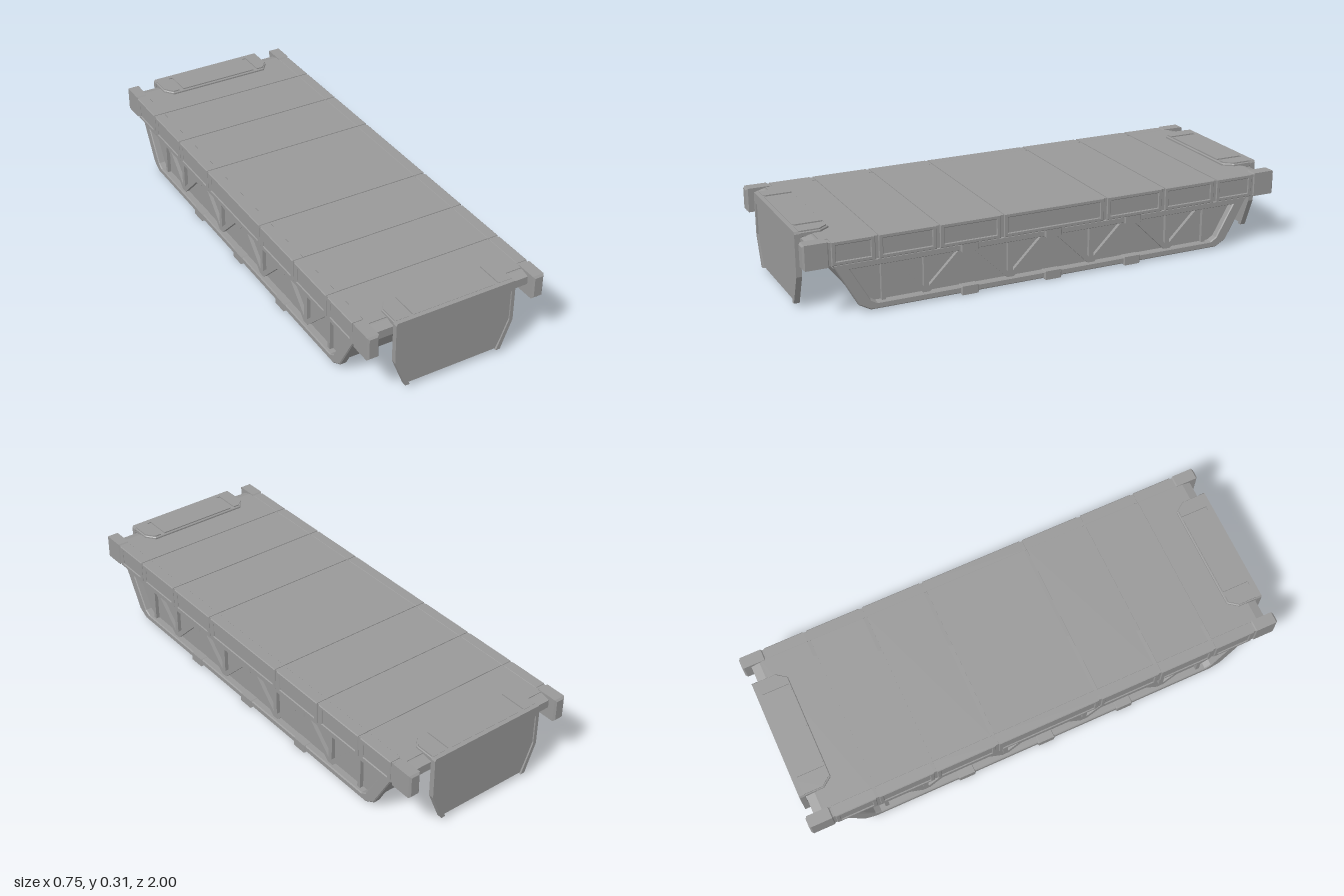
import * as THREE from 'three';

const mat = new THREE.MeshStandardMaterial({ color: 0x999999, flatShading: true });

function add(parent, name, geo, x = 0, y = 0, z = 0) {
  const m = new THREE.Mesh(geo, mat);
  m.name = name;
  m.position.set(x, y, z);
  parent.add(m);
  return m;
}

const box = (w, h, d) => new THREE.BoxGeometry(w, h, d);

function polygon(points, Type = THREE.Shape) {
  return new Type(points.map(p => new THREE.Vector2(p[0], p[1])));
}

// right half of an outline, completed by its mirror image
const mirrored = half => [...half, ...half.map(([a, b]) => [-a, b]).reverse()];

// extrusion centred on its own depth, with an optional chamfer that stays inside the outline
function slab(points, depth, hole, bevel = 0) {
  const shape = polygon(points);
  if (hole) shape.holes.push(polygon(hole, THREE.Path));
  const geo = new THREE.ExtrudeGeometry(shape, {
    depth: depth - 2 * bevel, bevelEnabled: bevel > 0, bevelSegments: 1,
    bevelSize: bevel, bevelThickness: bevel, bevelOffset: -bevel,
  });
  return geo.translate(0, 0, bevel - depth / 2);
}

// outline given as (z, y), extruded across x
const crossSlab = (...args) => slab(...args).rotateY(-Math.PI / 2);

// outline given as (x, -z), extruded upwards
const flatSlab = (...args) => slab(...args).rotateX(-Math.PI / 2);

const rect = (a0, a1, b0, b1) => [[a0, b0], [a1, b0], [a1, b1], [a0, b1]];

function makeDeck() {
  const g = new THREE.Group();
  g.name = 'deck';
  // core with chamfered end beams and sloping undersides
  add(g, 'deckCore', crossSlab(mirrored([[0.88, 0.205], [0.965, 0.255], [0.965, 0.288], [0.93, 0.298]]), 0.67));
  // top plates separated by narrow seams
  const seams = [-0.93, -0.72, -0.48, -0.22, 0.22, 0.48, 0.72, 0.93];
  for (let i = 0; i < seams.length - 1; i++) {
    const len = seams[i + 1] - seams[i] - 0.016;
    add(g, 'deckPlate', box(0.66, 0.01, len), 0, 0.296, (seams[i] + seams[i + 1]) / 2);
  }
  return g;
}

function makeRail(side) {
  const g = new THREE.Group();
  g.name = side > 0 ? 'leftRail' : 'rightRail';
  add(g, 'railCore', box(0.042, 0.088, 1.96), side * 0.348, 0.2555, 0);
  // framed segments along the rail, with gaps between them
  const cuts = [-0.9, -0.72, -0.48, -0.22, 0.22, 0.48, 0.72, 0.9];
  for (let i = 0; i < cuts.length - 1; i++) {
    const a = cuts[i] + 0.006, b = cuts[i + 1] - 0.006;
    add(g, 'railFrame', crossSlab(rect(a, b, 0.209, 0.302), 0.048,
      rect(a + 0.018, b - 0.018, 0.225, 0.286), 0.003), side * 0.349, 0, 0);
  }
  // solid end blocks
  for (const e of [-1, 1]) {
    add(g, 'railEnd', slab(rect(-0.024, 0.024, -0.0485, 0.0485), 0.1, null, 0.007),
      side * 0.349, 0.2555, e * 0.95);
  }
  return g;
}

function makeHull() {
  const g = new THREE.Group();
  g.name = 'hull';
  add(g, 'hullBody', crossSlab(mirrored(
    [[0.735, 0.013], [0.768, 0.03], [0.855, 0.175], [0.875, 0.182], [0.875, 0.21]]), 0.66));
  // cross bars under the floor
  for (const z of [-0.35, 0.35]) add(g, 'floorBar', box(0.67, 0.014, 0.035), 0, 0.014, z);
  return g;
}

function makeTruss(side) {
  const g = new THREE.Group();
  g.name = side > 0 ? 'leftTruss' : 'rightTruss';
  const outline = mirrored([[0.745, 0.009], [0.79, 0.034], [0.885, 0.205]]);
  const opening = mirrored([[0.72, 0.035], [0.745, 0.05], [0.82, 0.18]]);
  add(g, 'trussFrame', crossSlab(outline, 0.032, opening, 0.004), side * 0.342, 0, 0);
  const brace = (name, z0, y0, z1, y1, w) => {
    const m = add(g, name, box(0.016, w, Math.hypot(z1 - z0, y1 - y0)),
      side * 0.337, (y0 + y1) / 2, (z0 + z1) / 2);
    m.rotation.x = -Math.atan2(y1 - y0, z1 - z0);
  };
  // uprights with a pair of diagonals rising from each foot
  for (const z of [-0.52, -0.175, 0.175, 0.52]) {
    brace('upright', z, 0.03, z, 0.185, 0.02);
    for (const d of [-0.15, 0.15]) brace('diagonal', z, 0.035, z + d, 0.183, 0.02);
  }
  for (const e of [-1, 1]) {
    brace('endUpright', e * 0.69, 0.03, e * 0.69, 0.185, 0.016);
  }
  // collars clamped on the upper and lower chords
  for (const z of [-0.35, 0, 0.35]) {
    add(g, 'lowerCollar', slab(rect(-0.019, 0.019, 0.002, 0.037), 0.08, null, 0.008), side * 0.344, 0, z);
    add(g, 'upperCollar', slab(rect(-0.019, 0.019, 0.175, 0.21), 0.08, null, 0.008), side * 0.344, 0, z);
  }
  return g;
}

function makeEndFlap() {
  const g = new THREE.Group();
  g.name = 'endFlap';
  // hanging plate inside a rim that is open at the bottom
  add(g, 'flapPanel', slab(mirrored([[0.187, 0.026], [0.243, 0.145], [0.243, 0.28]]), 0.012), 0, 0, 0.978);
  const rim = [[0.205, 0.02], [0.252, 0.14], [0.252, 0.305], [0.247, 0.314]];
  const inner = [[-0.187, 0.02], [-0.238, 0.145], [-0.238, 0.272]];
  add(g, 'flapRim', slab([...mirrored(rim), ...inner,
    ...inner.map(([a, b]) => [-a, b]).reverse()], 0.022), 0, 0, 0.979);
  // cap lapped over the deck, cut back at its inner corners
  add(g, 'flapCap', flatSlab(mirrored([[0.25, -0.985], [0.25, -0.89], [0.22, -0.85]]), 0.02, null, 0.003), 0, 0.3, 0);
  // raised cap plates with a groove on either side of the middle one
  add(g, 'capPlate', box(0.344, 0.007, 0.115), 0, 0.3115, 0.9145);
  for (const s of [-1, 1]) {
    const points = [[0.19, -0.972], [0.246, -0.972], [0.246, -0.893], [0.218, -0.857], [0.19, -0.857]];
    const outline = points.map(([a, b]) => [s * a, b]);
    add(g, 'capEndPlate', flatSlab(outline, 0.007), 0, 0.3115, 0);
  }
  return g;
}

export function createModel() {
  const model = new THREE.Group();
  model.name = 'trussedPlatform';
  model.add(makeDeck(), makeHull());
  for (const side of [-1, 1]) model.add(makeRail(side), makeTruss(side));
  const front = makeEndFlap();
  const back = makeEndFlap();
  front.name = 'frontFlap';
  back.name = 'backFlap';
  back.rotation.y = Math.PI;
  model.add(front, back);
  return model;
}
